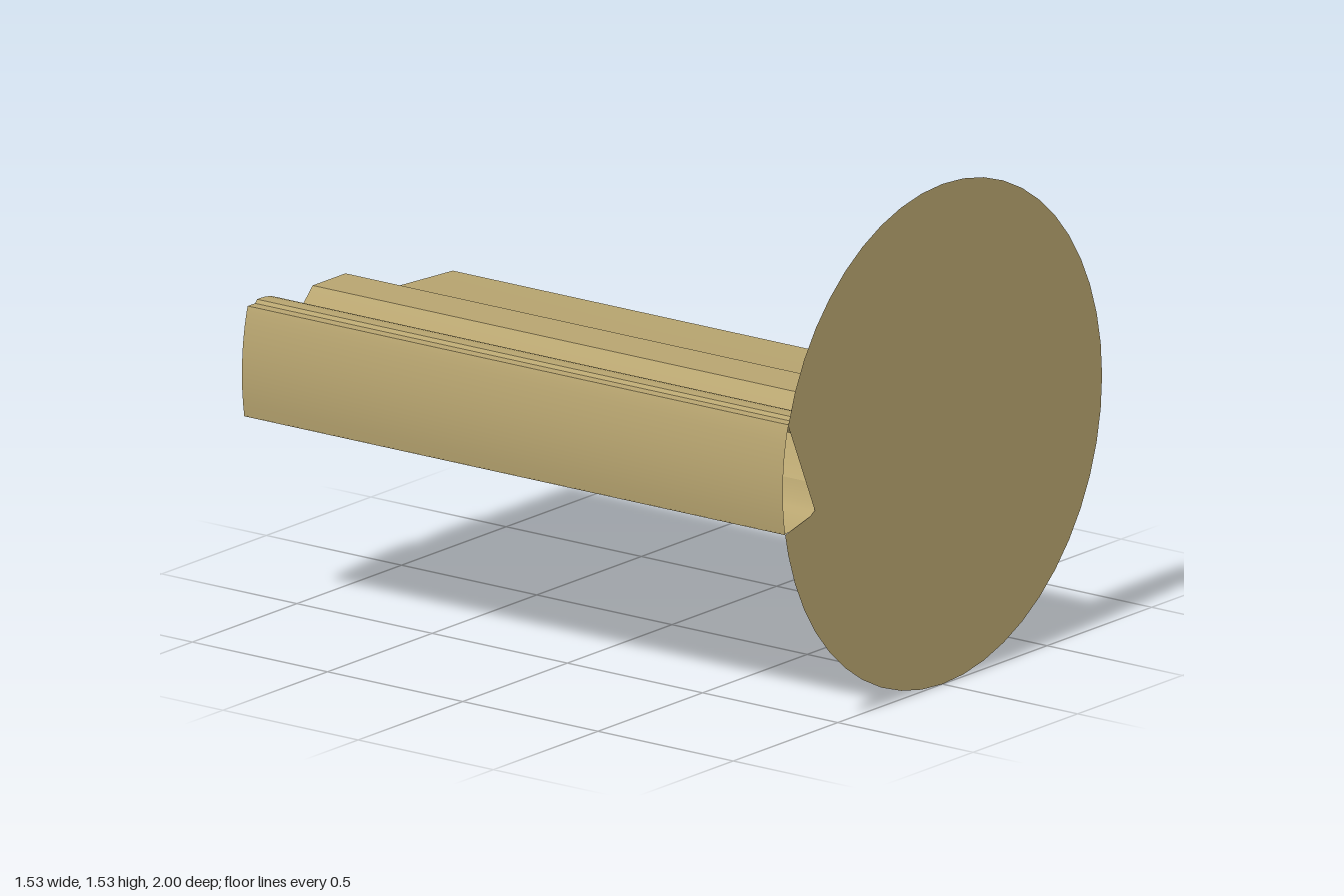
import * as THREE from 'three';
import { toCreasedNormals } from 'three/addons/utils/BufferGeometryUtils.js';

const R = 0.763, CY = 0.765;
const material = new THREE.MeshStandardMaterial({ color: 0xb8a570, side: THREE.DoubleSide });

const onCircle = (deg) => {
  const a = THREE.MathUtils.degToRad(deg);
  return new THREE.Vector2(R * Math.cos(a), CY + R * Math.sin(a));
};

function part(name, geometry) {
  const mesh = new THREE.Mesh(toCreasedNormals(geometry, 0.45), material);
  mesh.name = name;
  return mesh;
}

// Cross-section of the grooved bar, counter-clockwise seen from +z
function barProfile() {
  const s = new THREE.Shape();
  s.moveTo(0.255, 0.69);
  s.lineTo(0.255, 0.835);
  s.lineTo(0.245, 0.843);
  s.lineTo(-0.09, 0.862);
  s.quadraticCurveTo(-0.23, 0.868, -0.268, 0.955); // broad scoop
  s.lineTo(-0.425, 0.955);
  s.lineTo(-0.48, 0.9);
  s.quadraticCurveTo(-0.52, 0.845, -0.545, 0.875); // narrow groove
  s.lineTo(-0.588, 0.955);
  s.quadraticCurveTo(-0.63, 0.978, -0.69, 0.975);
  s.lineTo(-0.7, 0.965);
  s.lineTo(-0.735, 0.965);
  for (let d = 166; d <= 190; d += 3) { // rounded outer side
    const p = onCircle(d);
    s.lineTo(p.x, p.y);
  }
  s.lineTo(-0.752, 0.635);
  s.quadraticCurveTo(-0.65, 0.645, -0.61, 0.672);
  s.lineTo(-0.58, 0.682);
  s.lineTo(-0.37, 0.668);
  s.lineTo(-0.32, 0.69);
  s.closePath();
  return s;
}

export function createModel() {
  const group = new THREE.Group();

  // Bar walls: a strip wrapped around the profile, open at the disc end
  const profile = barProfile();
  const pts = profile.getPoints(6);
  if (!pts[0].equals(pts[pts.length - 1])) pts.push(pts[0].clone());
  const n = pts.length - 1;
  const walls = new THREE.PlaneGeometry(1, 1, n, 1);
  const pos = walls.attributes.position;
  for (let i = 0; i <= n; i++) {
    pos.setXYZ(i, pts[i].x, pts[i].y, 1);
    pos.setXYZ(i + n + 1, pts[i].x, pts[i].y, -1);
  }
  group.add(part('barWalls', walls));

  // Far end of the bar, turned to face -z
  const end = new THREE.ShapeGeometry(profile, 6);
  const index = end.index.array;
  for (let i = 0; i < index.length; i += 3) {
    [index[i], index[i + 1]] = [index[i + 1], index[i]];
  }
  end.translate(0, 0, -1);
  group.add(part('barEnd', end));

  // Thin disc with a notch that opens into the bar
  const rim = [onCircle(190)];
  for (let d = 195; d <= 525; d += 7.5) rim.push(onCircle(d));
  rim.push(new THREE.Vector2(-0.61, 0.675), new THREE.Vector2(-0.63, 0.662));
  const disc = new THREE.ShapeGeometry(new THREE.Shape(rim));
  disc.translate(0, 0, 1);
  group.add(part('disc', disc));

  // Conical boss behind the disc
  const boss = new THREE.LatheGeometry([
    new THREE.Vector2(0, 0.94),
    new THREE.Vector2(0.19, 0.94),
    new THREE.Vector2(0.33, 1),
  ], 48);
  boss.rotateX(Math.PI / 2);
  boss.translate(-0.295, 0.81, 0);
  group.add(part('boss', boss));

  return group;
}
